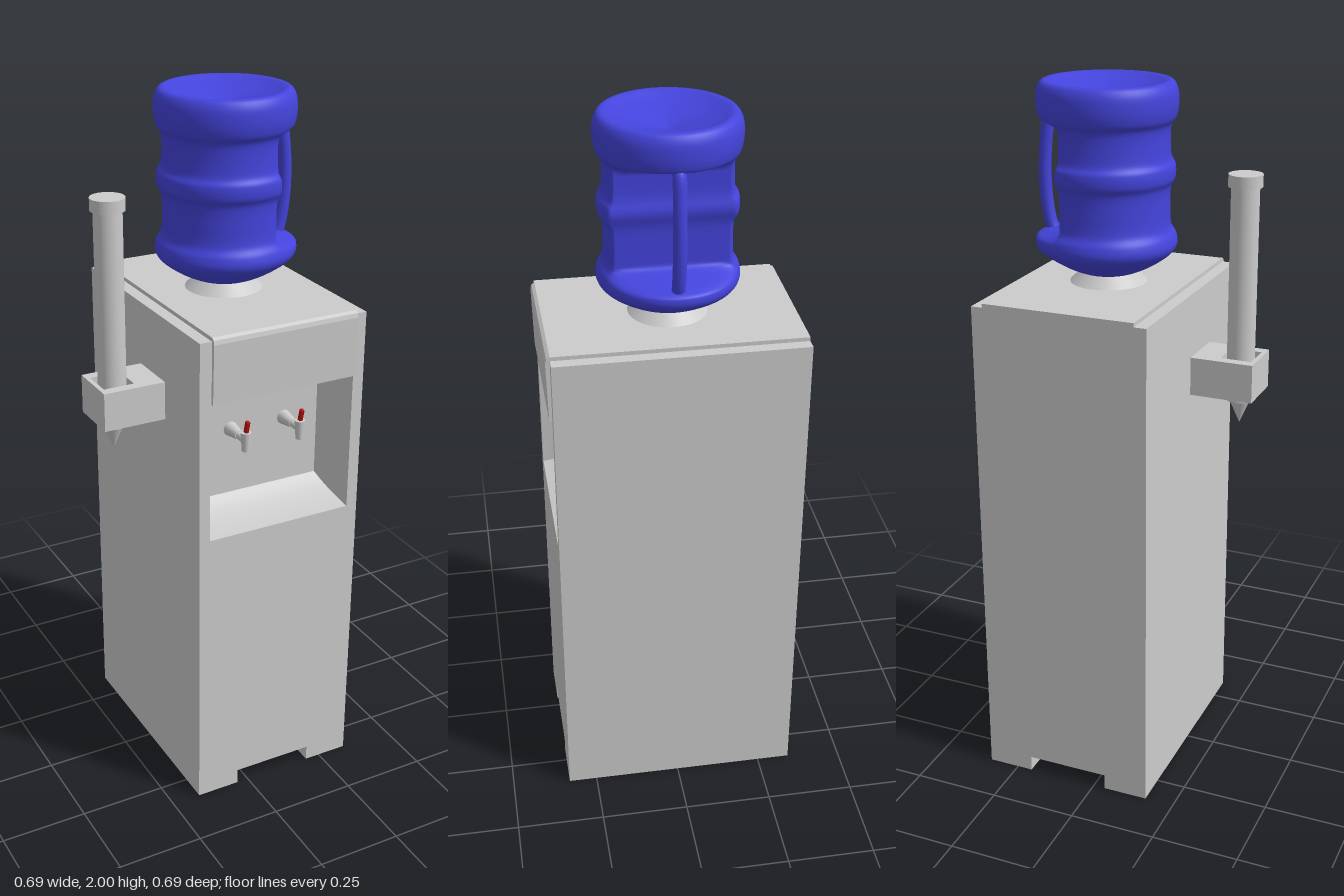
import * as THREE from 'three';
import { mergeVertices } from 'three/addons/utils/BufferGeometryUtils.js';

const mat = (color, extra = {}) => new THREE.MeshStandardMaterial({ color, ...extra });
const grey = mat(0xcccccc);
const greyThin = mat(0xcccccc, { side: THREE.DoubleSide });
const blue = mat(0x4444dd);
const red = mat(0xbb1111);

function add(parent, name, geometry, material, x = 0, y = 0, z = 0) {
  const mesh = new THREE.Mesh(geometry, material);
  mesh.name = name;
  mesh.position.set(x, y, z);
  parent.add(mesh);
  return mesh;
}

const polygon = (pts) => new THREE.Shape(pts.map(([x, y]) => new THREE.Vector2(x, y)));
const extrude = (shape, depth) => new THREE.ExtrudeGeometry(shape, { depth, bevelEnabled: false });

const X0 = -0.165, X1 = 0.34, TOP = 1.437, CX = 0.0875;
const BACK = -0.345, WALL = 0.2, FRONT = 0.332;
const niche = { x0: -0.133, x1: 0.307, y0: 0.855, y1: 1.26 };

// Outline of the cabinet seen from the front, with the channel under it
const cabinetShape = () => polygon([
  [X0, 0], [-0.035, 0], [-0.035, 0.045], [0.205, 0.045], [0.205, 0], [X1, 0], [X1, TOP], [X0, TOP],
]);

// Concave lining running from the niche opening to its smaller back wall
function nicheLining() {
  const { x0, x1, y0, y1 } = niche, steps = 10, pos = [], index = [];
  for (let i = 0; i <= steps; i++) {
    const t = i / steps, a = t * Math.PI / 2;
    const k = 0.5 * t + 0.5 * (1 - Math.cos(a));
    const z = FRONT - (FRONT - WALL - 0.001) * (0.5 * t + 0.5 * Math.sin(a));
    const l = x0 + 0.03 * k, r = x1 - 0.03 * k, b = y0 + 0.06 * k, u = y1 - 0.025 * k;
    const c = [[l, b], [r, b], [r, u], [l, u]];
    for (let s = 0; s < 4; s++) for (const p of [c[s], c[(s + 1) % 4]]) pos.push(p[0], p[1], z);
    if (i === steps) break;
    for (let s = 0; s < 4; s++) {
      const p = i * 8 + s * 2, q = p + 8;
      index.push(p, p + 1, q, p + 1, q + 1, q);
    }
  }
  const g = new THREE.BufferGeometry();
  g.setAttribute('position', new THREE.Float32BufferAttribute(pos, 3));
  g.setIndex(index);
  g.computeVertexNormals();
  return g;
}

// Ribbed bottle: a turned profile with a grip hollow pressed into the +x side
function bottleGeometry() {
  const profile = new THREE.SplineCurve([
    [0, 1.47], [0.06, 1.473], [0.12, 1.496], [0.172, 1.53], [0.19, 1.555], [0.187, 1.583],
    [0.173, 1.61], [0.17, 1.66], [0.172, 1.715], [0.184, 1.742], [0.184, 1.775], [0.172, 1.802],
    [0.171, 1.875], [0.186, 1.905], [0.192, 1.94], [0.188, 1.98], [0.168, 2], [0.12, 1.983], [0, 1.95],
  ].map(([r, y]) => new THREE.Vector2(r, y))).getPoints(110);
  profile.forEach((p) => { p.x = Math.max(0, p.x); p.y = Math.min(2, p.y); });
  let g = new THREE.LatheGeometry(profile, 96);
  g.deleteAttribute('uv');
  g.deleteAttribute('normal');
  g = mergeVertices(g, 1e-5);
  const p = g.attributes.position, { smoothstep, lerp } = THREE.MathUtils;
  for (let i = 0; i < p.count; i++) {
    let x = p.getX(i);
    const y = p.getY(i);
    // foot swells slightly below the handle
    if (x > 0) x *= 1 + 0.06 * smoothstep(y, 1.5, 1.55) * (1 - smoothstep(y, 1.58, 1.61));
    const limit = 0.075 + 0.01 * Math.exp(-(((y - 1.76) / 0.03) ** 2));
    const w = smoothstep(y, 1.575, 1.61) * (1 - smoothstep(y, 1.87, 1.905));
    if (x > limit) x = lerp(x, limit, w);
    p.setX(i, x);
  }
  g.computeVertexNormals();
  return g;
}

function makeTap(x) {
  const tap = new THREE.Group();
  tap.name = 'tap';
  const flange = new THREE.CylinderGeometry(0.013, 0.021, 0.05, 20).rotateX(Math.PI / 2);
  add(tap, 'tapFlange', flange, grey, 0, 0, 0.225);
  add(tap, 'tapPipe', new THREE.CylinderGeometry(0.011, 0.011, 0.06, 16).rotateX(Math.PI / 2), grey, 0, 0, 0.262);
  add(tap, 'tapSpout', new THREE.CylinderGeometry(0.015, 0.011, 0.055, 16), grey, 0, -0.003, 0.287);
  const lever = add(tap, 'tapLever', new THREE.BoxGeometry(0.009, 0.05, 0.012), red, 0, 0.035, 0.29);
  lever.rotation.x = 0.25;
  tap.position.set(x, 1.11, 0);
  return tap;
}

export function createModel() {
  const model = new THREE.Group();
  model.name = 'waterDispenser';

  // Cabinet: solid rear block and a front frame around the niche
  const cabinet = new THREE.Group();
  cabinet.name = 'cabinet';
  model.add(cabinet);
  add(cabinet, 'cabinetRear', extrude(cabinetShape(), WALL - BACK), grey, 0, 0, BACK);
  const frame = cabinetShape();
  const { x0, x1, y0, y1 } = niche;
  frame.holes.push(polygon([[x0, y0], [x0, y1], [x1, y1], [x1, y0]]));
  add(cabinet, 'cabinetFront', extrude(frame, FRONT - WALL), grey, 0, 0, WALL);
  add(cabinet, 'nicheLining', nicheLining(), greyThin);

  // Lid that folds over the front edge as a flap (side profile in z, y)
  const lid = polygon([
    [BACK, 1.43], [0.325, 1.43], [0.325, 1.26], [0.34, 1.26], [0.344, 1.43], [0.341, 1.442], [0.332, 1.448], [BACK, 1.448],
  ]);
  add(cabinet, 'lid', extrude(lid, 0.437).rotateY(-Math.PI / 2), grey, 0.307, 0, 0);

  // Taps
  for (const x of [0, 0.17]) model.add(makeTap(x));

  // Bottle, its handle and the collar it sits in
  const bottle = new THREE.Group();
  bottle.name = 'bottle';
  bottle.position.set(CX, 0, -0.006);
  model.add(bottle);
  add(bottle, 'bottleBody', bottleGeometry(), blue);
  const grip = new THREE.CatmullRomCurve3([
    [0.15, 1.915], [0.172, 1.895], [0.183, 1.84], [0.19, 1.75], [0.186, 1.66], [0.172, 1.59], [0.155, 1.56],
  ].map(([x, y]) => new THREE.Vector3(x, y, 0)));
  add(bottle, 'bottleHandle', new THREE.TubeGeometry(grip, 40, 0.018, 14), blue);
  add(bottle, 'bottleCollar', new THREE.CylinderGeometry(0.07, 0.11, 0.04, 48), grey, 0, 1.466, 0);

  // Cup holder: square bracket with an open slot on the cabinet side
  const holder = new THREE.Group();
  holder.name = 'cupHolder';
  model.add(holder);
  const bracket = polygon([[-0.345, -0.13], [X0, -0.13], [X0, 0.02], [-0.345, 0.02]]);
  bracket.holes.push(polygon([[-0.332, -0.1], [-0.332, -0.01], [-0.243, -0.01], [-0.243, -0.1]]));
  add(holder, 'cupBracket', extrude(bracket, 0.11).rotateX(-Math.PI / 2), grey, 0, 1.145, 0);

  // Cup tube with cap and pointed lower end
  const tx = -0.287, tz = 0.054;
  add(holder, 'cupTube', new THREE.CylinderGeometry(0.039, 0.039, 0.61, 40), grey, tx, 1.43, tz);
  add(holder, 'cupTubeCap', new THREE.CylinderGeometry(0.047, 0.047, 0.034, 40), grey, tx, 1.748, tz);
  add(holder, 'cupTubeTip', new THREE.ConeGeometry(0.03, 0.07, 40).rotateX(Math.PI), grey, tx, 1.09, tz);

  return model;
}
